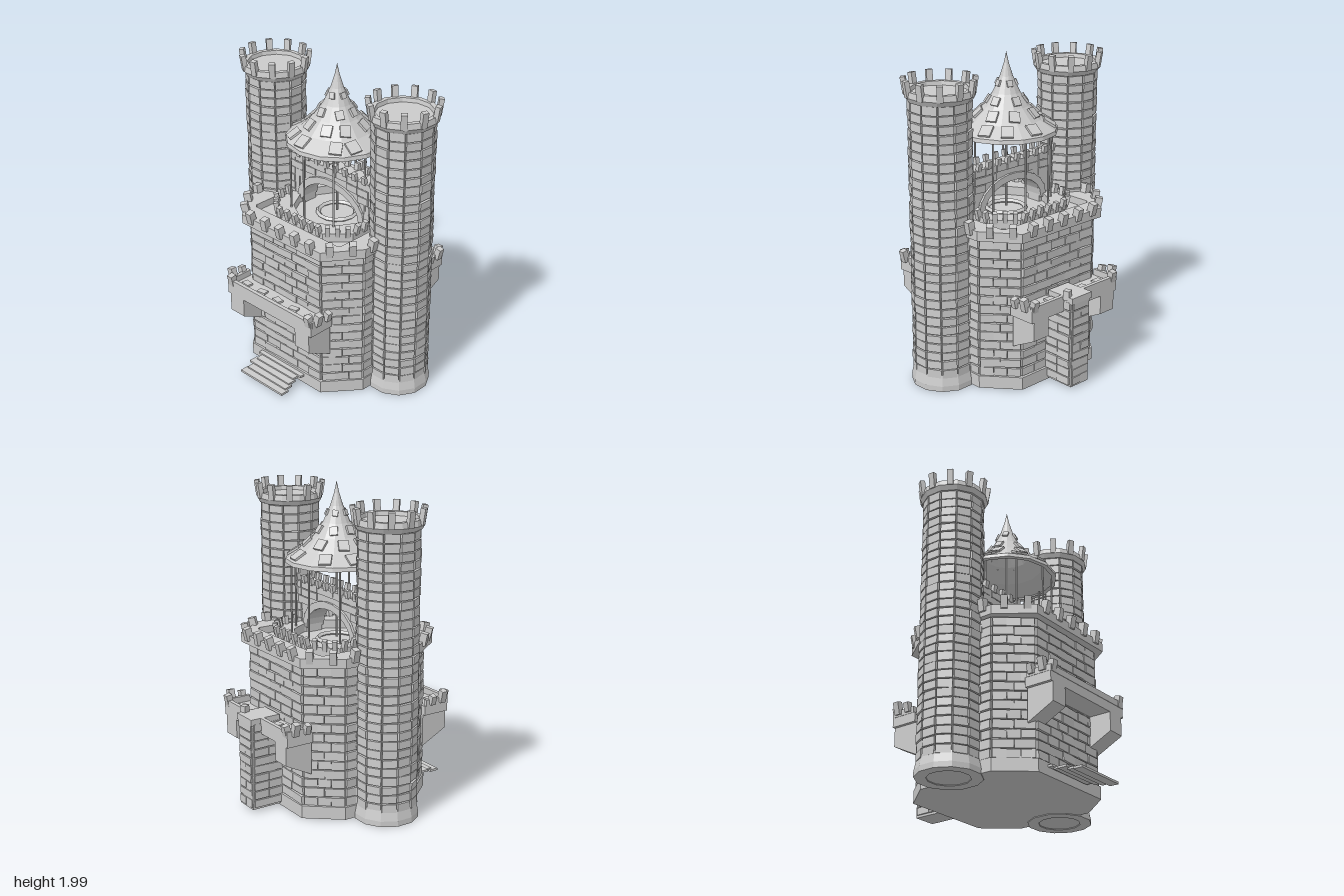
import * as THREE from 'three';
import { mergeGeometries } from 'three/addons/utils/BufferGeometryUtils.js';

let seed = 7;
const rand = () => (seed = (seed * 16807) % 2147483647) / 2147483647;
const jit = (a) => (rand() - 0.5) * 2 * a;

const stone = new THREE.MeshStandardMaterial({ color: 0xcccccc, flatShading: true });
const thin = new THREE.MeshStandardMaterial({ color: 0xcccccc, flatShading: true, side: THREE.DoubleSide });

function part(parent, name, geos, material = stone) {
  const list = [].concat(geos).map((g) => (g.index ? g.toNonIndexed() : g));
  const mesh = new THREE.Mesh(mergeGeometries(list), material);
  mesh.name = name;
  parent.add(mesh);
  return mesh;
}

// Box tilted outward by rx, turned to face angle ry, then placed
const box = (w, h, d, x, y, z, ry = 0, rx = 0, rz = 0) =>
  new THREE.BoxGeometry(w, h, d).rotateZ(rz).rotateX(rx).rotateY(ry).translate(x, y, z);

// Horizontal polygon [x, z] raised from y0 to y1, with an optional hole
function prism(points, y0, y1, hole) {
  const toVec = (pts) => pts.map(([x, z]) => new THREE.Vector2(x, -z));
  const shape = new THREE.Shape(toVec(points));
  if (hole) shape.holes.push(new THREE.Path(toVec(hole)));
  return new THREE.ExtrudeGeometry(shape, { depth: y1 - y0, bevelEnabled: false })
    .rotateX(-Math.PI / 2).translate(0, y0, 0);
}

// Rectangle with cut corners: half sizes hx, hz and front half width fx, side half depth fz
const octagon = (hx, hz, fx, fz) => [
  [fx, hz], [hx, fz], [hx, -fz], [fx, -hz], [-fx, -hz], [-hx, -fz], [-hx, fz], [-fx, hz],
];
const ngon = (n, r, cx = 0) => Array.from({ length: n }, (_, i) => {
  const a = ((i + 0.5) / n) * Math.PI * 2;
  return [cx + Math.sin(a) * r, Math.cos(a) * r];
});

// Visit evenly spaced spots along every edge of a polygon
function alongEdges(points, spacing, visit) {
  points.forEach(([x0, z0], i) => {
    const [x1, z1] = points[(i + 1) % points.length];
    const len = Math.hypot(x1 - x0, z1 - z0);
    const n = Math.max(1, Math.round(len / spacing));
    const mid = [(x0 + x1) / 2, (z0 + z1) / 2];
    let a = Math.atan2(-(z1 - z0), x1 - x0);
    if (Math.sin(a) * mid[0] + Math.cos(a) * mid[1] < 0) a += Math.PI;
    for (let k = 0; k < n; k++) {
      const t = (k + 0.5) / n;
      visit(x0 + (x1 - x0) * t, z0 + (z1 - z0) * t, a, len / n);
    }
  });
}

// Courses of uneven blocks following a polygon
function masonry(points, y0, y1, spacing, course = 0.057) {
  const out = [];
  const rows = Math.round((y1 - y0) / course), h = (y1 - y0) / rows;
  for (let r = 0; r < rows; r++) {
    alongEdges(points, spacing * (r % 2 ? 1 : 0.8), (x, z, a, w) => {
      out.push(box(w * 0.98, h * (0.88 + jit(0.06)), 0.03 + jit(0.007),
        x, y0 + (r + 0.5) * h, z, a + jit(0.04), jit(0.05), jit(0.025)));
    });
  }
  return out;
}

const merlons = (points, spacing, y, w, h, d, tilt) => {
  const out = [];
  alongEdges(points, spacing, (x, z, a) => out.push(box(w, h, d, x, y + jit(0.004), z, a + jit(0.1), tilt + jit(0.06))));
  return out;
};

function tower() {
  const g = new THREE.Group();
  part(g, 'towerCore', prism(ngon(12, 0.175), 0.02, 1.83));
  part(g, 'towerBlocks', masonry(ngon(12, 0.175), 0.1, 1.8, 0.09));
  const lathe = (pts) => new THREE.LatheGeometry(pts.map(([x, y]) => new THREE.Vector2(x, y)), 12, Math.PI / 12);
  part(g, 'towerFoot', lathe([[0.12, 0.05], [0.13, 0.015], [0.2, 0.015], [0.2, 0.05], [0.185, 0.12], [0.17, 0.12]]), thin);
  part(g, 'towerCrown', lathe([[0.17, 1.79], [0.195, 1.8], [0.212, 1.83], [0.205, 1.865], [0.175, 1.865], [0.17, 1.84], [0, 1.84]]), thin);
  const teeth = [];
  for (let i = 0; i < 11; i++) {
    const a = (i / 11) * Math.PI * 2 + 0.15;
    teeth.push(box(0.038, 0.1, 0.03, Math.sin(a) * 0.205, 1.88, Math.cos(a) * 0.205, a, 0.15));
  }
  part(g, 'towerMerlons', teeth);
  return g;
}

// Balcony on sloped brackets, built for the front side
function balcony() {
  const g = new THREE.Group();
  part(g, 'balconyFloor', box(0.74, 0.06, 0.18, 0, 0.55, 0.51));
  const rail = [box(0.74, 0.04, 0.025, 0, 0.6, 0.59)];
  const teeth = [], brackets = [];
  for (const s of [-1, 1]) {
    rail.push(box(0.025, 0.04, 0.16, s * 0.36, 0.6, 0.51));
    teeth.push(box(0.04, 0.08, 0.04, s * 0.38, 0.63, 0.55, s * 1.57, 0.25));
    teeth.push(box(0.04, 0.07, 0.04, s * 0.34, 0.62, 0.59, 0, 0.2), box(0.035, 0.06, 0.04, s * 0.38, 0.62, 0.47, s * 1.57, 0.25));
    const side = new THREE.Shape([[0.42, 0.31], [0.6, 0.4], [0.6, 0.54], [0.42, 0.54]].map(([z, y]) => new THREE.Vector2(-z, y)));
    brackets.push(new THREE.ExtrudeGeometry(side, { depth: 0.12, bevelEnabled: false })
      .rotateY(Math.PI / 2).translate(s * 0.29 - 0.06, 0, 0));
  }
  for (let i = 0; i < 5; i++) rail.push(box(0.06, 0.015, 0.04, -0.28 + i * 0.14, 0.585, 0.52, jit(0.5)));
  part(g, 'balconyRail', rail);
  part(g, 'balconyMerlons', teeth);
  part(g, 'balconyBrackets', brackets);
  return g;
}

function archBridge() {
  const g = new THREE.Group();
  const pts = [[-0.4, 1.32], [-0.4, 1.0], [-0.24, 1.0]];
  for (let i = 0; i <= 14; i++) {
    const a = Math.PI * (1 - i / 14);
    pts.push([Math.cos(a) * 0.24, 1.05 + Math.sin(a) * 0.15]);
  }
  pts.push([0.24, 1.0], [0.4, 1.0], [0.4, 1.32]);
  part(g, 'bridgeWall', new THREE.ExtrudeGeometry(new THREE.Shape(pts.map((p) => new THREE.Vector2(...p))),
    { depth: 0.1, bevelEnabled: false }).translate(0, 0, -0.05));
  const blocks = [], voussoirs = [], teeth = [];
  for (let r = 0; r < 6; r++) for (let i = 0; i < 9; i++) {
    const x = -0.36 + i * 0.09, y = 1.05 + r * 0.05;
    if ((x / 0.31) ** 2 + ((y - 1.05) / 0.21) ** 2 < 1) continue;
    blocks.push(box(0.085, 0.045, 0.115 + jit(0.008), x, y, 0, jit(0.03), 0, jit(0.04)));
  }
  for (let i = 0; i < 11; i++) {
    const a = ((i + 0.5) / 11) * Math.PI;
    voussoirs.push(box(0.08, 0.045, 0.13, Math.cos(a) * 0.26, 1.05 + Math.sin(a) * 0.172, 0, 0, 0,
      Math.atan2(-0.17 * Math.cos(a), 0.26 * Math.sin(a))));
  }
  for (let i = 0; i < 10; i++) for (const s of [-1, 1])
    teeth.push(box(0.03, 0.05, 0.025, -0.36 + i * 0.08, 1.34, s * 0.055, 0, s * 0.15));
  part(g, 'bridgeBlocks', blocks);
  part(g, 'bridgeArchStones', voussoirs);
  part(g, 'bridgeMerlons', teeth);
  return g;
}

function pavilion() {
  const g = new THREE.Group();
  const profile = [[0.32, 1.505], [0.315, 1.53], [0.22, 1.59], [0.14, 1.67], [0.085, 1.75], [0.04, 1.85], [0.015, 1.93], [0, 2]];
  part(g, 'pavilionRoof', new THREE.LatheGeometry([[0.29, 1.505], ...profile].map((p) => new THREE.Vector2(...p)), 14), thin);
  // Loose tiles lying on the roof slope
  const tiles = [];
  [[0.265, 10, 0.075], [0.18, 8, 0.065], [0.115, 6, 0.05], [0.06, 5, 0.035]].forEach(([r, n, size], row) => {
    const i = profile.findIndex(([pr], k) => k > 1 && pr <= r);
    const [r0, y0] = profile[i - 1], [r1, y1] = profile[i];
    const y = y0 + ((r0 - r) / (r0 - r1)) * (y1 - y0), slope = Math.atan2(y1 - y0, r0 - r1);
    for (let k = 0; k < n; k++) {
      const a = ((k + row * 0.4) / n) * Math.PI * 2 + jit(0.12);
      tiles.push(new THREE.BoxGeometry(size, 0.014, size * 1.1).rotateY(jit(0.2)).rotateX(slope)
        .rotateY(a).translate(Math.sin(a) * r, y + 0.005, Math.cos(a) * r));
    }
  });
  part(g, 'roofTiles', tiles);
  const poles = [new THREE.CylinderGeometry(0.008, 0.008, 0.9, 6).translate(0, 1.47, 0)];
  for (let i = 0; i < 9; i++) {
    const a = (i / 9) * Math.PI * 2;
    poles.push(new THREE.CylinderGeometry(0.007, 0.007, 0.5, 6).translate(Math.sin(a) * 0.285, 1.27, Math.cos(a) * 0.285));
  }
  part(g, 'pavilionPoles', poles);
  return g;
}

export function createModel() {
  const castle = new THREE.Group();
  castle.name = 'castle';

  // Central keep
  const wall = octagon(0.46, 0.44, 0.3, 0.25);
  part(castle, 'keepCore', prism(wall, 0.02, 1.0));
  part(castle, 'keepBlocks', masonry(wall, 0.1, 0.98, 0.12));
  part(castle, 'keepPlinth', prism(octagon(0.48, 0.465, 0.31, 0.26), 0.02, 0.1));
  const crown = octagon(0.5, 0.49, 0.34, 0.27);
  part(castle, 'keepCrown', prism(crown, 0.985, 1.045, octagon(0.37, 0.36, 0.35, 0.34)));
  part(castle, 'keepMerlons', merlons(octagon(0.5, 0.49, 0.32, 0.28), 0.125, 1.055, 0.042, 0.08, 0.045, 0.2));

  // Raised floor on the keep
  const dais = octagon(0.33, 0.33, 0.2, 0.2);
  part(castle, 'daisRim', prism(dais, 0.99, 1.055, ngon(12, 0.27)));
  part(castle, 'daisMerlons', merlons(dais, 0.07, 1.07, 0.028, 0.07, 0.03, 0.2));
  part(castle, 'daisRing', new THREE.TorusGeometry(0.12, 0.015, 4, 14).rotateX(Math.PI / 2).translate(0, 1.01, 0));

  for (const s of [-1, 1]) {
    const t = tower();
    t.name = s > 0 ? 'leftTower' : 'rightTower';
    t.position.x = s * 0.535;
    castle.add(t);
    const b = balcony();
    b.name = s > 0 ? 'frontBalcony' : 'backBalcony';
    b.rotation.y = s > 0 ? 0 : Math.PI;
    castle.add(b);
  }

  const bridge = archBridge();
  bridge.name = 'archBridge';
  const top = pavilion();
  top.name = 'pavilion';
  castle.add(bridge, top);

  // Back buttress
  part(castle, 'backButtress', [box(0.15, 0.56, 0.22, 0.015, 0.31, -0.55),
    ...masonry([[-0.055, -0.45], [0.085, -0.45], [0.085, -0.65], [-0.055, -0.65]], 0.04, 0.59, 0.1),
    box(0.17, 0.04, 0.2, 0.015, 0.6, -0.57), box(0.04, 0.06, 0.04, 0.09, 0.63, -0.62, 0.3)]);

  // Front steps
  const steps = [];
  for (let i = 0; i < 5; i++)
    steps.push(box(0.36 + jit(0.03), 0.014, 0.06, jit(0.02) - 0.01, 0.042 + i * 0.009, 0.645 - i * 0.045, jit(0.02)));
  part(castle, 'frontSteps', steps);
  return castle;
}
